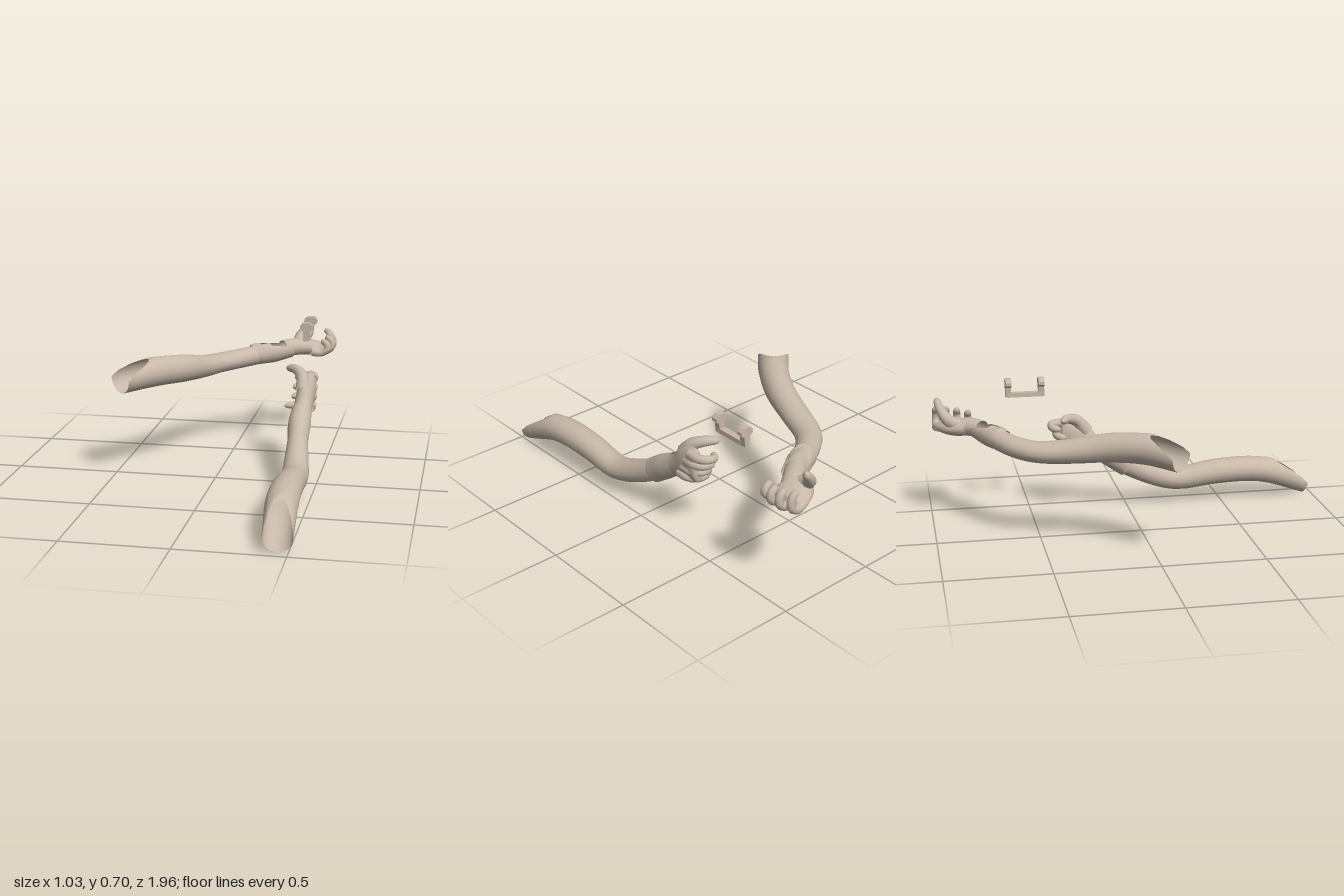
import * as THREE from 'three';

const skin = new THREE.MeshStandardMaterial({ color: 0xc8b9a9, side: THREE.DoubleSide });
skin.name = 'warmBeige';

// Smooth tube through stations [x, y, z, width, height].
// cut: how far the upper side of the open start is slanted back; tip: rounds off the end.
function loft(name, stations, { up = [0, 1, 0], sides = 16, steps = 4, cut = 0, tip = 0 } = {}) {
  const curve = new THREE.CatmullRomCurve3(stations.map(s => new THREE.Vector3(s[0], s[1], s[2])));
  const upV = new THREE.Vector3(...up);
  const rings = (stations.length - 1) * steps;
  const pos = [], index = [];
  const start = curve.getPoint(0);
  for (let i = 0; i <= rings; i++) {
    const t = i / rings;
    const k = Math.min(Math.floor(i / steps), stations.length - 2);
    const f = i / steps - k;
    const p = curve.getPoint(t), dir = curve.getTangent(t);
    const side = dir.clone().cross(upV).normalize();
    const top = side.clone().cross(dir);
    const e = tip ? Math.max(0, (t - 1 + tip) / tip) : 0;
    const round = Math.sqrt(Math.max(0.0001, 1 - e * e));
    const w = THREE.MathUtils.lerp(stations[k][3], stations[k + 1][3], f) / 2 * round;
    const h = THREE.MathUtils.lerp(stations[k][4], stations[k + 1][4], f) / 2 * round;
    const fade = cut * Math.max(0, 1 - p.distanceTo(start) / (cut * 1.35 + 0.001));
    for (let j = 0; j < sides; j++) {
      const a = j / sides * Math.PI * 2;
      const v = p.clone()
        .addScaledVector(side, Math.cos(a) * w)
        .addScaledVector(top, Math.sin(a) * h)
        .addScaledVector(dir, fade * Math.pow(Math.max(0, Math.sin(a)), 1.5));
      pos.push(v.x, v.y, v.z);
      if (i < rings) {
        const j2 = (j + 1) % sides, r = i * sides, n = r + sides;
        index.push(r + j, n + j, r + j2, r + j2, n + j, n + j2);
      }
    }
  }
  const geo = new THREE.BufferGeometry();
  geo.setAttribute('position', new THREE.Float32BufferAttribute(pos, 3));
  geo.setIndex(index);
  geo.computeVertexNormals();
  const mesh = new THREE.Mesh(geo, skin);
  mesh.name = name;
  return mesh;
}

// Tapering finger through a few joints
function finger(name, joints, d0, d1, up) {
  const st = joints.map((p, i) => {
    const d = THREE.MathUtils.lerp(d0, d1, i / (joints.length - 1));
    return [...p, d, d];
  });
  return loft(name, st, { up, sides: 10, tip: 0.14, steps: 6 });
}

// Arm reaching across, palm up
function farArm() {
  const g = new THREE.Group();
  g.name = 'farArm';
  g.add(loft('sleeve', [
    [-0.45, 0.51, 0.10, 0.155, 0.14],
    [-0.32, 0.52, -0.04, 0.15, 0.145],
    [-0.215, 0.505, -0.20, 0.14, 0.14],
    [-0.145, 0.477, -0.38, 0.135, 0.115],
    [-0.085, 0.465, -0.52, 0.13, 0.10],
    [0.025, 0.472, -0.63, 0.115, 0.10],
    [0.16, 0.49, -0.71, 0.10, 0.10],
  ], { cut: 0.17 }));
  g.add(loft('cuff', [
    [0.085, 0.483, -0.672, 0.118, 0.108],
    [0.17, 0.495, -0.72, 0.118, 0.122],
    [0.255, 0.507, -0.772, 0.108, 0.104],
  ], { cut: -0.02 }));
  g.add(loft('palm', [
    [0.22, 0.502, -0.752, 0.095, 0.09],
    [0.275, 0.505, -0.80, 0.10, 0.09],
    [0.325, 0.495, -0.862, 0.16, 0.085],
    [0.375, 0.488, -0.885, 0.18, 0.07],
    [0.415, 0.483, -0.89, 0.17, 0.05],
  ], { tip: 0.12, steps: 6 }));
  for (let i = 0; i < 4; i++) {
    const z = -0.962 + i * 0.053;
    const reach = [-0.012, 0.006, 0.006, -0.01][i], lift = [0.008, 0, -0.008, -0.018][i];
    g.add(finger('finger', [
      [0.365, 0.485, z + 0.012], [0.425 + reach, 0.478, z], [0.458 + reach, 0.50, z],
      [0.456 + reach, 0.54 + lift, z], [0.425 + reach, 0.565 + lift, z],
    ], 0.048, 0.033, [0, 0, 1]));
  }
  g.add(finger('thumb', [
    [0.29, 0.505, -0.85], [0.293, 0.54, -0.91], [0.33, 0.59, -0.945], [0.37, 0.637, -0.96],
  ], 0.075, 0.032, [0, 0, 1]));
  return g;
}

// Arm reaching straight back, palm inward
function nearArm() {
  const g = new THREE.Group();
  g.name = 'nearArm';
  g.add(loft('sleeve', [
    [0.455, 0.07, 0.97, 0.135, 0.13],
    [0.437, 0.152, 0.72, 0.15, 0.132],
    [0.432, 0.155, 0.48, 0.14, 0.13],
    [0.43, 0.13, 0.27, 0.13, 0.115],
    [0.42, 0.16, 0.15, 0.118, 0.115],
    [0.405, 0.235, -0.01, 0.095, 0.11],
    [0.403, 0.28, -0.08, 0.09, 0.10],
  ], { cut: 0.2 }));
  g.add(loft('cuff', [
    [0.407, 0.225, 0.005, 0.10, 0.125],
    [0.402, 0.28, -0.075, 0.112, 0.125],
    [0.402, 0.33, -0.155, 0.10, 0.11],
  ]));
  g.add(loft('palm', [
    [0.402, 0.31, -0.125, 0.095, 0.09],
    [0.405, 0.345, -0.185, 0.11, 0.09],
    [0.41, 0.385, -0.25, 0.165, 0.09],
    [0.42, 0.40, -0.305, 0.175, 0.075],
    [0.425, 0.405, -0.345, 0.165, 0.05],
  ], { up: [1, 0, 0], tip: 0.12, steps: 6 }));
  for (let i = 0; i < 4; i++) {
    const y = 0.457 - i * 0.043, z = i * 0.024;
    const tipX = [0.345, 0.335, 0.33, 0.295][i];
    g.add(finger('finger', [
      [0.435, y, -0.29 + z], [0.436, y, -0.345 + z], [0.415, y, -0.383 + z],
      [0.37, y - 0.008, -0.383 + z], [tipX, y - 0.01, -0.345 + z],
    ], 0.05, 0.034, [0, 1, 0]));
  }
  g.add(finger('thumb', [
    [0.40, 0.42, -0.21], [0.39, 0.475, -0.255], [0.35, 0.50, -0.31], [0.298, 0.498, -0.345],
  ], 0.075, 0.034, [1, 0.3, 0]));
  return g;
}

// Floating bracket: two mushroom-shaped plates joined by a bar
function bracket() {
  const g = new THREE.Group();
  g.name = 'bracket';
  const half = [[0.012, 0], [0.017, 0.05], [0.033, 0.062], [0.033, 0.077], [0.018, 0.093]];
  const outline = [...half, ...half.map(([x, y]) => [-x, y]).reverse()];
  const shape = new THREE.Shape(outline.map(([x, y]) => new THREE.Vector2(x, y)));
  for (const z of [-0.452, -0.617]) {
    const plate = new THREE.Mesh(new THREE.ExtrudeGeometry(shape, { depth: 0.029, bevelEnabled: false }), skin);
    plate.name = 'bracketPlate';
    plate.position.set(0.384, 0.619, z);
    g.add(plate);
  }
  const bar = new THREE.Mesh(new THREE.BoxGeometry(0.032, 0.022, 0.17), skin);
  bar.name = 'bracketBar';
  bar.position.set(0.382, 0.63, -0.52);
  g.add(bar);
  return g;
}

export function createModel() {
  const model = new THREE.Group();
  model.name = 'armsAndBracket';
  model.add(farArm(), nearArm(), bracket());
  return model;
}
